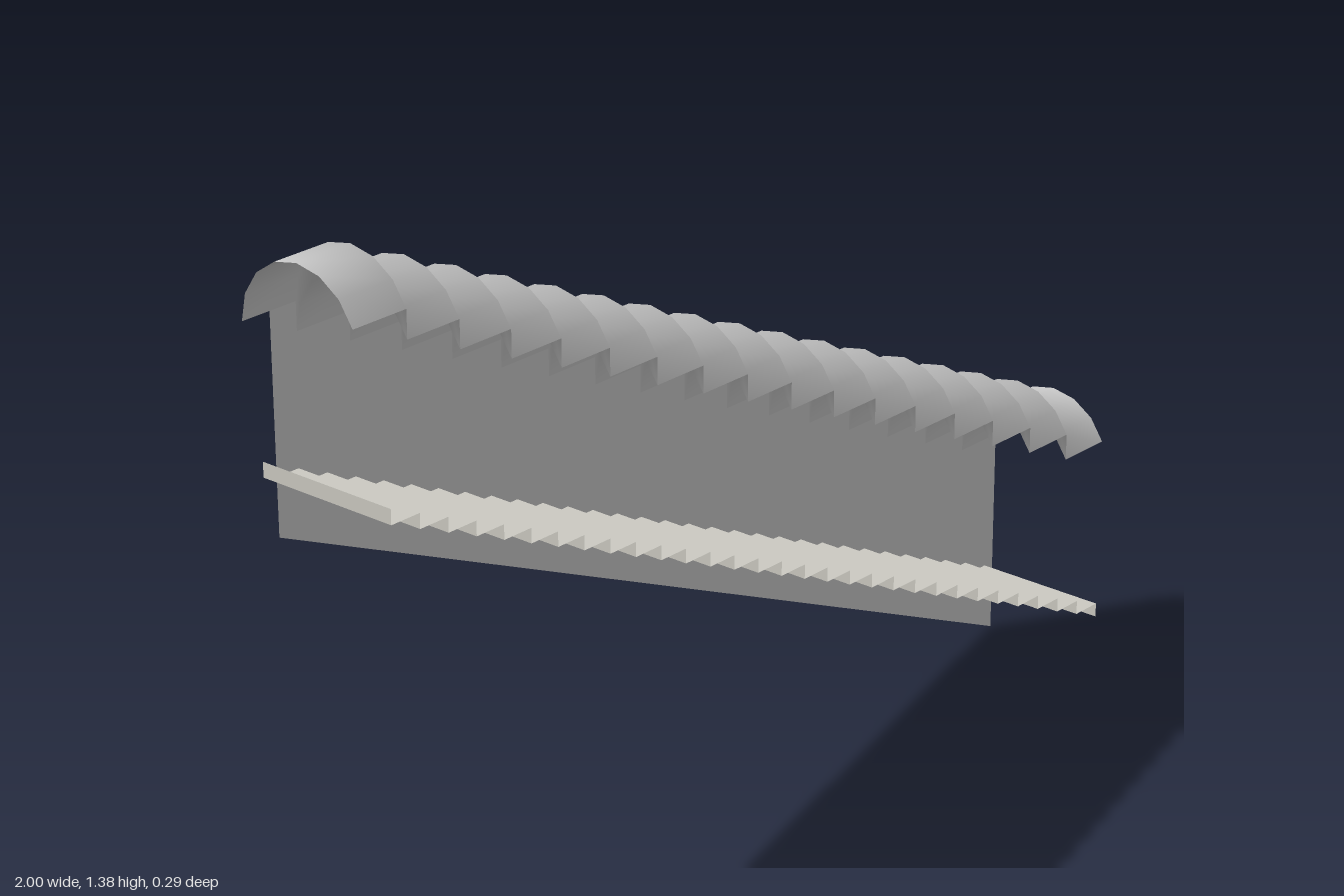
import * as THREE from 'three';

const BAYS = 17, BAY = 2 / BAYS;          // stepped roof bays along x
const TOP = 1.245, DROP = 0.0516;         // springing height of the first bay, fall per bay
const RADIUS = 0.13;

const material = (color, flatShading = false) =>
  new THREE.MeshStandardMaterial({ color, flatShading, side: THREE.DoubleSide });

// Open sheet through a list of equally long rows of [x, y, z] points
function sheet(rows) {
  const n = rows[0].length, index = [];
  for (let j = 0; j < rows.length - 1; j++) {
    for (let k = 0; k < n - 1; k++) {
      const a = j * n + k, b = a + n;
      index.push(a, b, a + 1, b, b + 1, a + 1);
    }
  }
  const geometry = new THREE.BufferGeometry();
  geometry.setAttribute('position', new THREE.Float32BufferAttribute(rows.flat(2), 3));
  geometry.setIndex(index);
  geometry.computeVertexNormals();
  return geometry;
}

// Arch cross-section: half circle whose lowest front facet is left open
function arch(x, y) {
  const points = [];
  for (let k = 1; k <= 8; k++) {
    const a = k * Math.PI / 8;
    points.push([x, y + RADIUS * Math.sin(a), RADIUS * Math.cos(a)]);
  }
  return points;
}

export function createModel() {
  const group = new THREE.Group();
  const add = (name, geometry, mat) => {
    const mesh = new THREE.Mesh(geometry, mat);
    mesh.name = name;
    group.add(mesh);
    return mesh;
  };

  // Vaulted roof descending in steps, with crescent risers between bays
  const rows = [];
  for (let i = 0; i < BAYS; i++) {
    const x = -1 + i * BAY, y = TOP - i * DROP;
    rows.push(arch(x, y), arch(x + BAY, y));
  }
  add('steppedVaultRoof', sheet(rows), material(0xcccccc));

  // Back wall: sloping base, stepped top meeting the roof
  const left = -0.94, right = 0.99;
  const outline = new THREE.Shape();
  outline.moveTo(left, 0.85);
  outline.lineTo(right, 0);
  for (let i = BAYS - 1; i >= 0; i--) {
    const y = TOP - i * DROP;
    outline.lineTo(Math.min(right, -1 + (i + 1) * BAY), y);
    outline.lineTo(Math.max(left, -1 + i * BAY), y);
  }
  const wall = add('backWall', new THREE.ShapeGeometry(outline), material(0xcccccc));
  wall.position.z = -RADIUS;

  // Staircase: thin folded sheet of treads and risers
  const treads = 30, x0 = 0.965, y0 = 0.115, run = 1.92 / treads, rise = 0.87 / (treads + 1);
  const steps = [];
  const fold = (x, y) => steps.push([[x, y, -0.145], [x, y, 0.145]]);
  for (let i = 0; i <= treads; i++) {
    fold(x0 - i * run, y0 + i * rise);
    fold(x0 - i * run, y0 + (i + 1) * rise);
  }
  add('stairs', sheet(steps), material(0xcccac2, true));

  return group;
}
